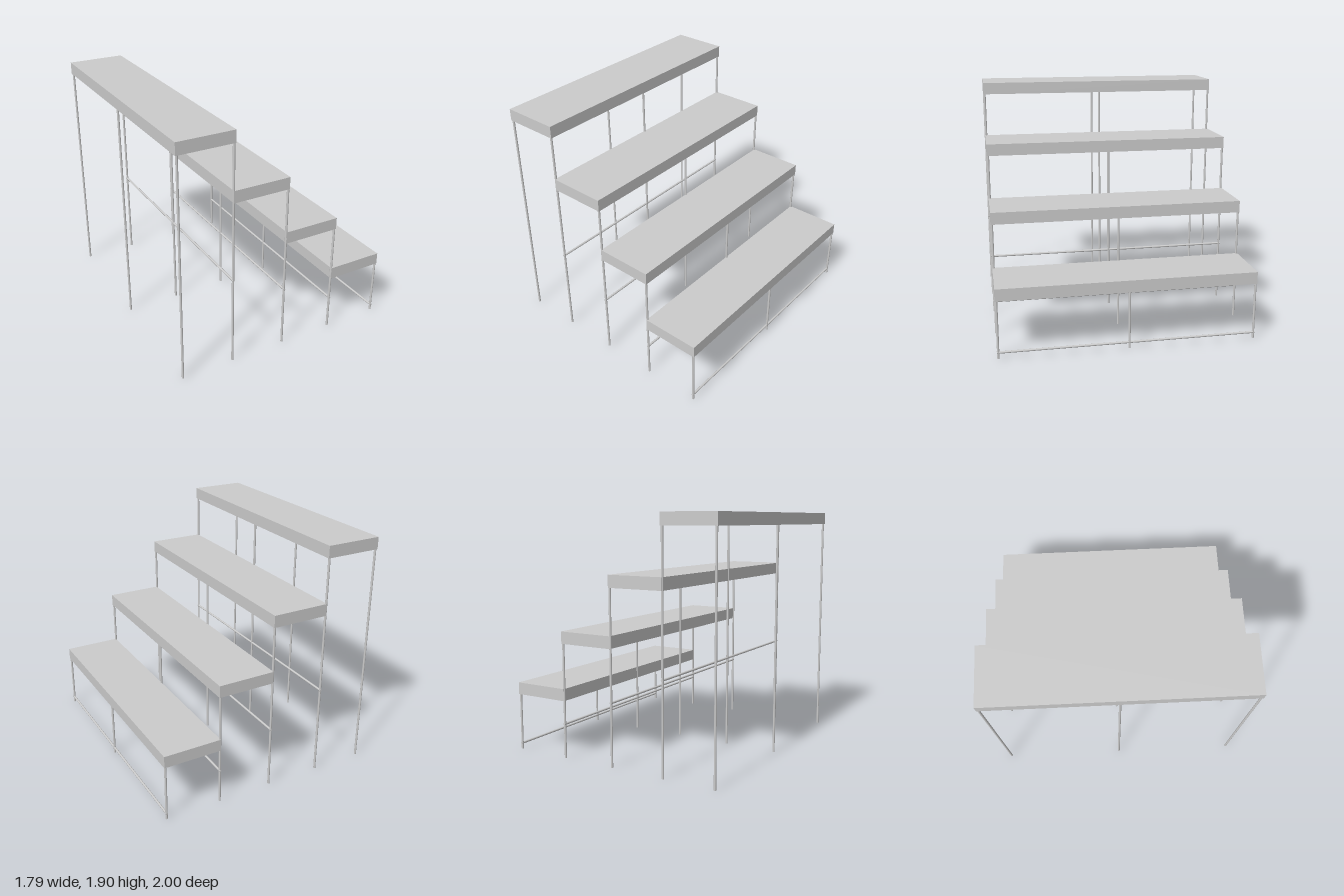
import * as THREE from 'three';

export function createModel() {
  const group = new THREE.Group();
  group.name = 'steppedBenches';
  const material = new THREE.MeshStandardMaterial({ color: 0xcccccc });
  const radius = 0.009, thickness = 0.095, halfDepth = 1;

  const add = (name, geometry, x, y, z) => {
    const mesh = new THREE.Mesh(geometry, material);
    mesh.name = name;
    mesh.position.set(x, y, z);
    group.add(mesh);
    return mesh;
  };

  // Four solid step boards, highest to lowest: left edge, right edge, top
  const steps = [
    [-0.897, -0.447, 1.9],
    [-0.461, 0, 1.452],
    [-0.008, 0.447, 1.003],
    [0.434, 0.897, 0.555],
  ];
  steps.forEach(([x0, x1, top], i) => {
    add(`stepBoard${i + 1}`, new THREE.BoxGeometry(x1 - x0, thickness, 2 * halfDepth),
      (x0 + x1) / 2, top - thickness / 2, 0);
  });

  // Rows of three tubular legs: x, foot height, index of the board carried, rail height
  const rows = [
    [-0.883, 0, 0, null],
    [-0.459, 0.002, 0, 0.725],
    [-0.009, 0.007, 1, 0.502],
    [0.436, 0.005, 2, 0.278],
    [0.886, 0.007, 3, 0.055],
  ];
  rows.forEach(([x, foot, board, railY], i) => {
    const height = steps[board][2] - thickness - foot;
    for (const z of [-1, 0, 1]) {
      add(`leg${i + 1}`, new THREE.CylinderGeometry(radius, radius, height, 12),
        x, foot + height / 2, z * (halfDepth - radius - 0.001));
    }
    // Long rail tying the legs of this row together
    if (railY !== null) {
      const rail = add(`rail${i}`, new THREE.CylinderGeometry(radius, radius, 2 * halfDepth, 12), x, railY, 0);
      rail.rotation.x = Math.PI / 2;
    }
  });

  return group;
}
